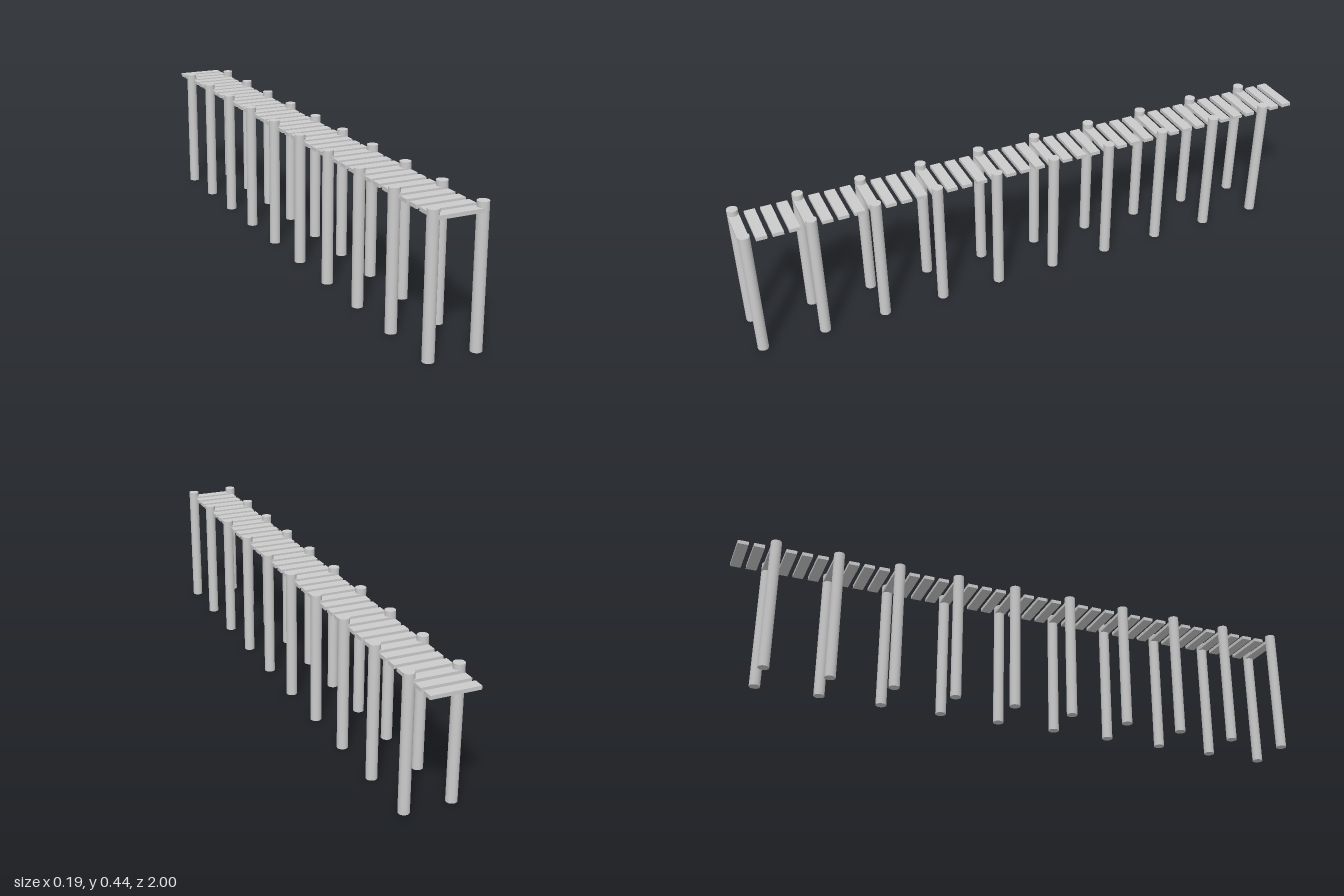
import * as THREE from 'three';

export function createModel() {
  const group = new THREE.Group();
  const material = new THREE.MeshStandardMaterial({ color: 0xcccccc });

  const plankCount = 39, plankDepth = 0.035, postRadius = 0.018, postHeight = 0.443;
  const firstZ = -1 + plankDepth / 2;
  const step = (1 - postRadius - firstZ) / (plankCount - 1);

  const plankGeometry = new THREE.BoxGeometry(0.158, 0.012, plankDepth);
  const postGeometry = new THREE.CylinderGeometry(postRadius, postRadius, postHeight, 24);

  function add(geometry, name, x, y, z) {
    const mesh = new THREE.Mesh(geometry, material);
    mesh.name = name;
    mesh.position.set(x, y, z);
    group.add(mesh);
  }

  for (let i = 0; i < plankCount; i++) {
    const z = firstZ + i * step;
    // Walkway board
    add(plankGeometry, 'plank', 0, 0.4195, z);
    // A pair of posts at every fourth board
    if (i % 4 === 2) {
      add(postGeometry, 'leftPost', 0.078, postHeight / 2, z);
      add(postGeometry, 'rightPost', -0.078, postHeight / 2, z);
    }
  }
  return group;
}
